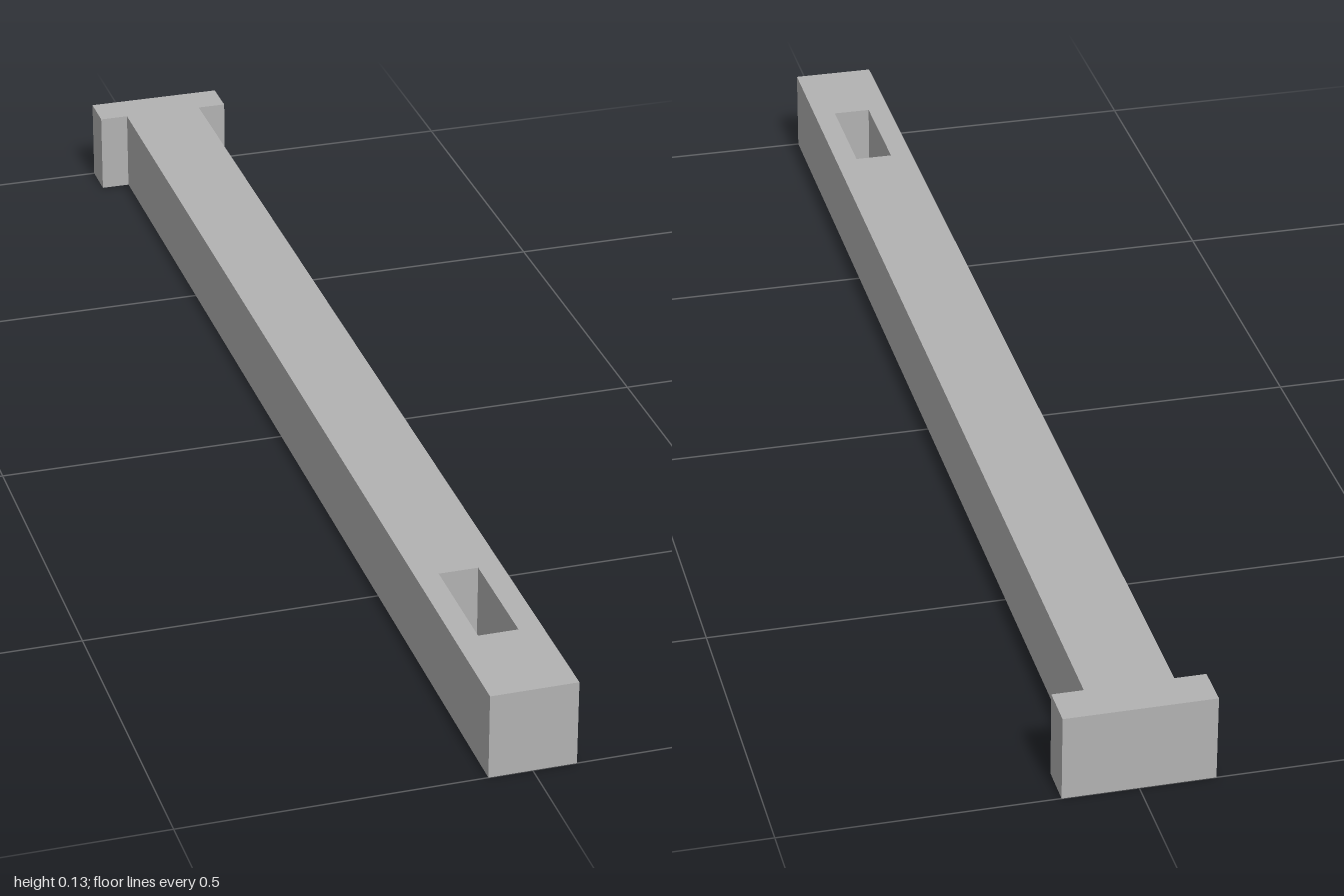
import * as THREE from 'three';

const HEIGHT = 0.128;

export function createModel() {
  const group = new THREE.Group();
  group.name = 'slottedPin';

  const grey = new THREE.MeshStandardMaterial({ color: 0xb2b2b2 });
  grey.name = 'grey';

  // T-shaped plan: wide head at the back, long shank to the front
  const head = 0.108, shank = 0.063, shoulder = -0.939;
  const half = [[head, -1], [head, shoulder], [shank, shoulder], [shank, 1]];
  const mirrored = half.map(([x, z]) => [-x, z]).reverse();
  const plan = new THREE.Shape([...half, ...mirrored].map(([x, z]) => new THREE.Vector2(x, z)));

  // Wedge slot cut right through near the front end
  const slot = [[-0.029, 0.673], [-0.029, 0.847], [0.029, 0.847], [0.029, 0.673]];
  plan.holes.push(new THREE.Path(slot.map(([x, z]) => new THREE.Vector2(x, z))));

  // Extrude, then lay flat so the plan's second axis becomes z
  const geometry = new THREE.ExtrudeGeometry(plan, { depth: HEIGHT, bevelEnabled: false });
  geometry.rotateX(Math.PI / 2);
  geometry.translate(0, HEIGHT, 0);

  const pin = new THREE.Mesh(geometry, grey);
  pin.name = 'headedShank';
  group.add(pin);
  return group;
}
